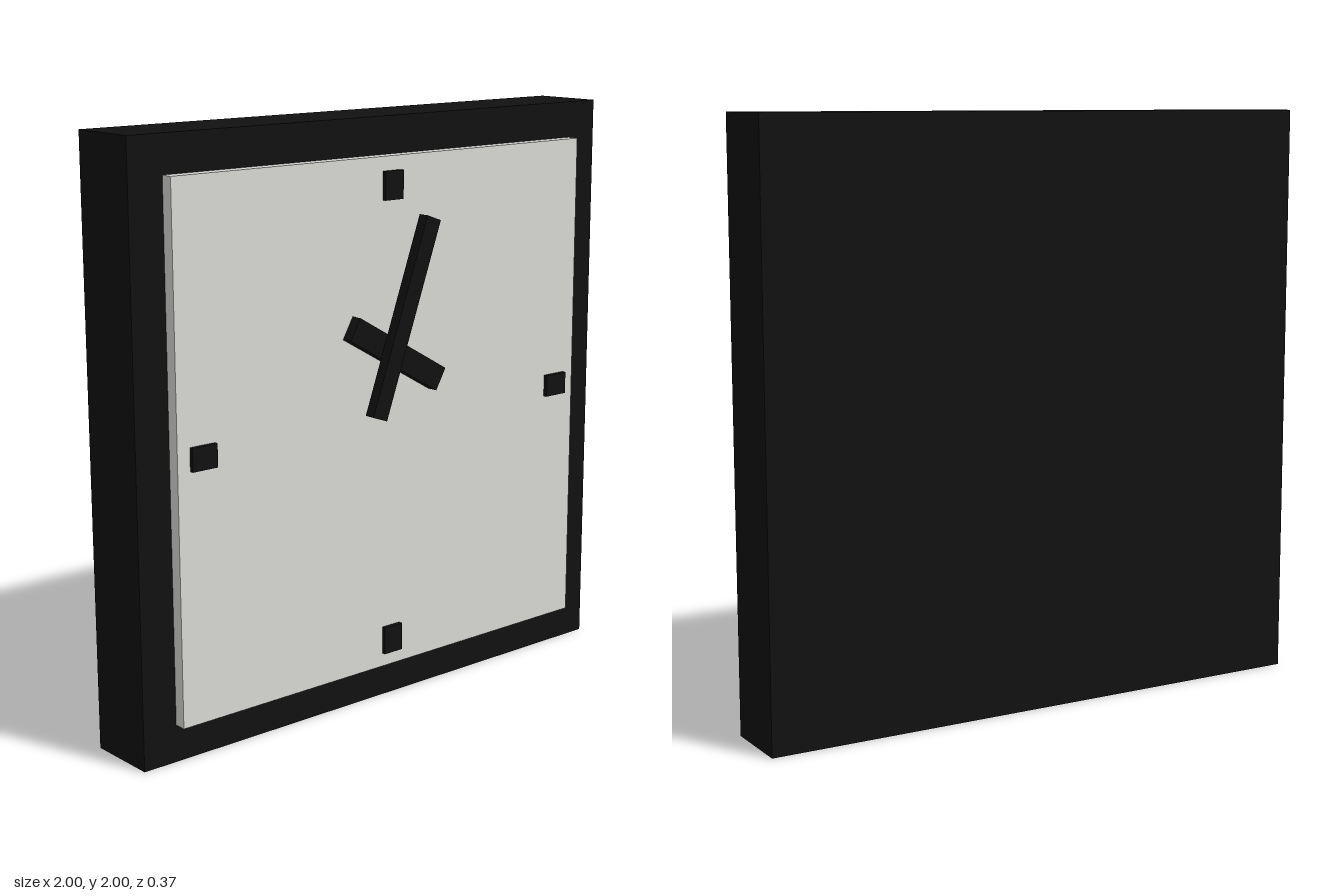
import * as THREE from 'three';

export function createModel() {
  const clock = new THREE.Group();
  clock.name = 'wallClock';

  const black = new THREE.MeshStandardMaterial({ color: 0x111111 });
  black.name = 'black';
  const paleGrey = new THREE.MeshStandardMaterial({ color: 0xd8d8d5 });
  paleGrey.name = 'paleGrey';

  // Box centred on (x, y), running from zBack to zFront, turned about z
  function slab(name, material, width, height, x, y, zBack, zFront, degrees = 0) {
    const mesh = new THREE.Mesh(new THREE.BoxGeometry(width, height, zFront - zBack), material);
    mesh.name = name;
    mesh.position.set(x, y, (zBack + zFront) / 2);
    mesh.rotation.z = THREE.MathUtils.degToRad(degrees);
    clock.add(mesh);
  }

  // Case and raised dial
  slab('case', black, 2, 2, 0, 1, -0.1865, 0.0665);
  slab('dial', paleGrey, 1.75, 1.75, 0, 1, 0.0665, 0.1085);

  // Quarter-hour markers
  for (const side of [-1, 1]) {
    slab(side > 0 ? 'markerThree' : 'markerNine', black, 0.095, 0.077, side * 0.78, 1, 0.1085, 0.1235);
    slab(side > 0 ? 'markerTwelve' : 'markerSix', black, 0.077, 0.095, 0, 1 + side * 0.78, 0.1085, 0.1235);
  }

  // Hands, the minute hand lying over the hour hand
  slab('hourHand', black, 0.083, 0.437, 0, 1.22, 0.1085, 0.1475, -120);
  slab('minuteHand', black, 0.0625, 0.685, 0, 1.348, 0.1475, 0.1865, -20);

  return clock;
}
